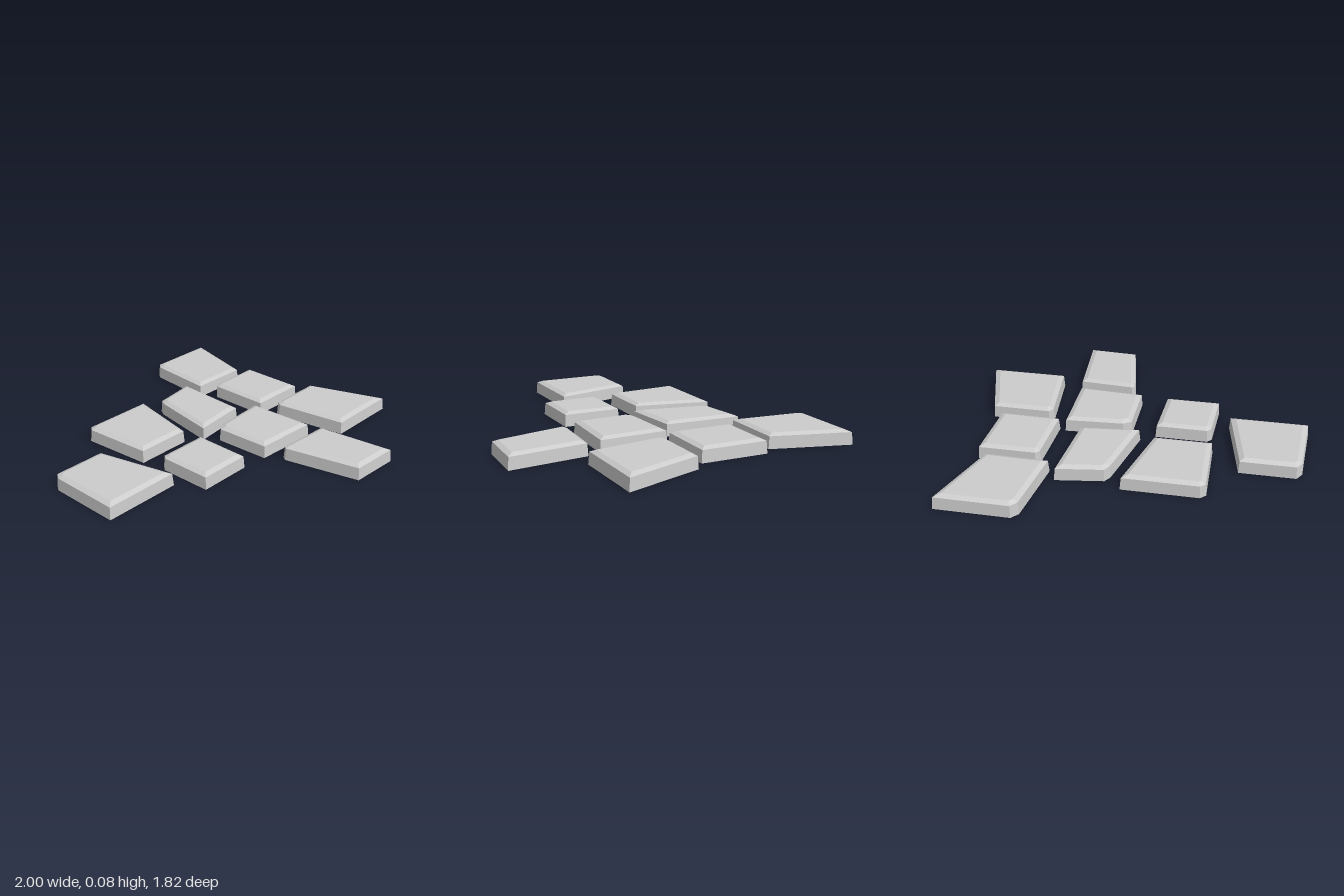
import * as THREE from 'three';

const RIM = 0.07, TOP = 0.083;

// Slab outlines as x, z pairs, clockwise from above; the back left corner is clipped
const slabs = [
  [-1, 0.18, -0.98, -0.24, -0.95, -0.285, -0.635, -0.285, -0.54, 0.18],
  [-0.475, -0.115, -0.49, -0.53, -0.46, -0.56, -0.03, -0.56, -0.14, -0.115],
  [-0.05, -0.05, 0.04, -0.46, 0.065, -0.5, 0.335, -0.54, 0.295, -0.085],
  [0.38, -0.46, 0.43, -0.87, 0.465, -0.91, 0.885, -0.91, 0.745, -0.455],
  [0.435, -0.015, 0.45, -0.38, 0.475, -0.405, 0.805, -0.405, 0.79, -0.01],
  [-0.465, 0.34, -0.455, 0.03, -0.43, 0, -0.13, 0, -0.145, 0.34],
  [0.01, 0.355, 0.01, 0.025, 0.06, -0.01, 0.4, -0.03, 0.4, 0.375],
  [0.54, 0.51, 0.495, 0.085, 0.52, 0.05, 0.86, 0.05, 1, 0.51],
  [0.15, 0.89, 0.07, 0.455, 0.09, 0.43, 0.415, 0.45, 0.45, 0.905],
];

// Moves every side of the outline inward by d and lifts it to height y
function ring(points, d, y) {
  const n = points.length;
  const normal = (a, b) => new THREE.Vector2(a.y - b.y, b.x - a.x).normalize();
  return points.map((p, i) => {
    const n1 = normal(points[(i + n - 1) % n], p);
    const n2 = normal(p, points[(i + 1) % n]);
    const k = d / (1 + n1.dot(n2));
    return new THREE.Vector3(p.x + (n1.x + n2.x) * k, y, p.y + (n1.y + n2.y) * k);
  });
}

function slabGeometry(flat) {
  const outline = [];
  for (let i = 0; i < flat.length; i += 2) outline.push(new THREE.Vector2(flat[i], flat[i + 1]));
  const rings = [ring(outline, 0, 0), ring(outline, 0.005, RIM), ring(outline, 0.033, TOP)];
  const n = outline.length, verts = [];
  // Side walls and the bevel above them
  for (let r = 0; r < 2; r++) {
    for (let i = 0; i < n; i++) {
      const j = (i + 1) % n, lo = rings[r], hi = rings[r + 1];
      verts.push(lo[j], lo[i], hi[i], lo[j], hi[i], hi[j]);
    }
  }
  // Flat top; the underside stays open
  for (let i = 1; i < n - 1; i++) verts.push(rings[2][0], rings[2][i + 1], rings[2][i]);
  const geometry = new THREE.BufferGeometry().setFromPoints(verts);
  geometry.computeVertexNormals();
  return geometry;
}

export function createModel() {
  const group = new THREE.Group();
  group.name = 'steppingStones';
  const material = new THREE.MeshStandardMaterial({
    color: 0xcccccc, flatShading: true, side: THREE.DoubleSide,
  });
  slabs.forEach((flat, i) => {
    const mesh = new THREE.Mesh(slabGeometry(flat), material);
    mesh.name = `stoneSlab${i + 1}`;
    group.add(mesh);
  });
  return group;
}
